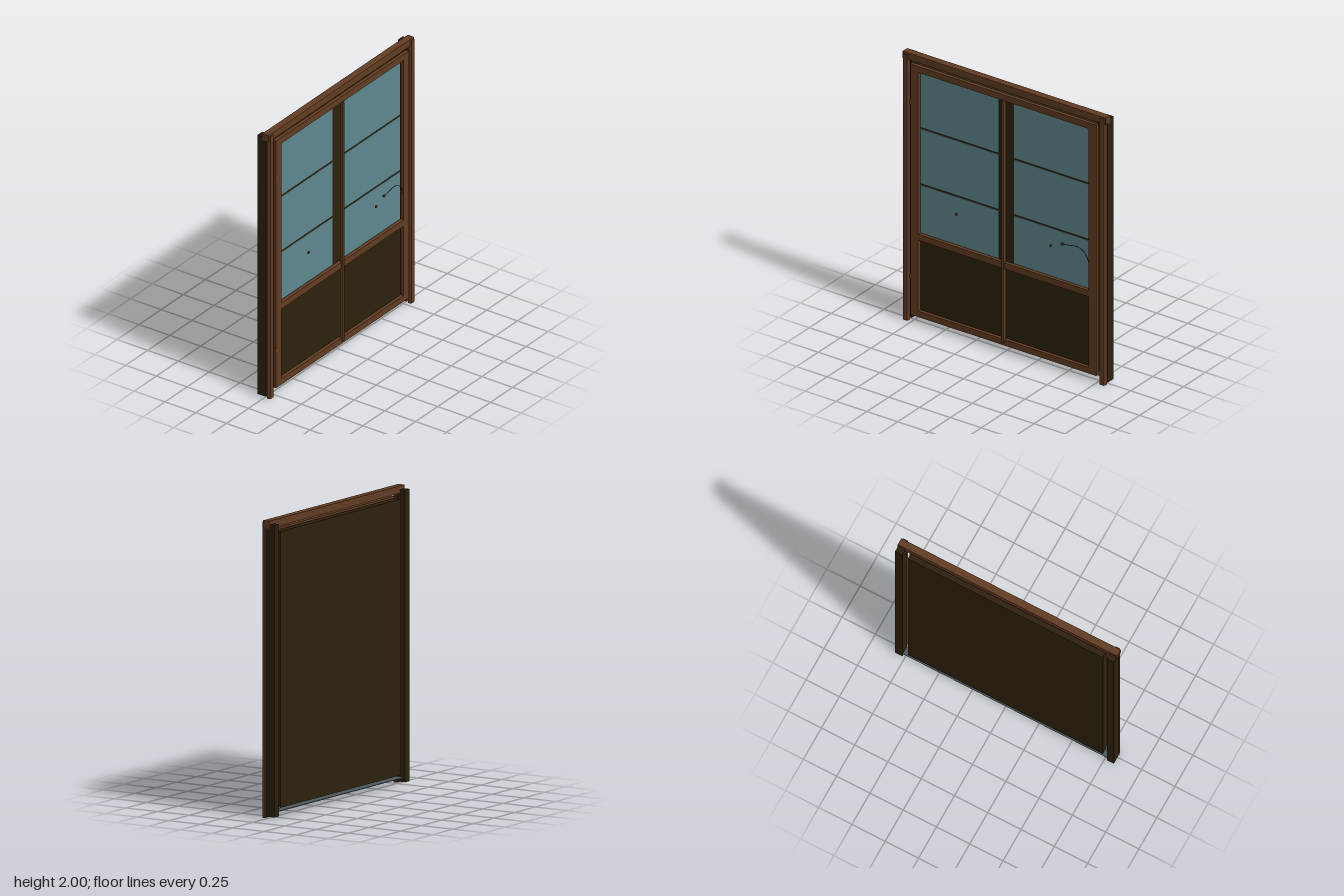
import * as THREE from 'three';

const mat = (name, color) => {
  const m = new THREE.MeshStandardMaterial({ color });
  m.name = name;
  return m;
};

export function createModel() {
  const wood = mat('brownWood', 0x633c22);
  const dark = mat('darkWood', 0x2d210d);
  const glass = mat('blueGlass', 0x5f878f);
  const steel = mat('greySill', 0x4d595e);
  const root = new THREE.Group();
  root.name = 'doubleDoor';

  // Box given by its limits on each axis
  const box = (name, m, x0, x1, y0, y1, z0, z1) => {
    const mesh = new THREE.Mesh(new THREE.BoxGeometry(x1 - x0, y1 - y0, z1 - z0), m);
    mesh.position.set((x0 + x1) / 2, (y0 + y1) / 2, (z0 + z1) / 2);
    mesh.name = name;
    root.add(mesh);
  };
  // Same box on the left or right side
  const side = (name, m, s, a, b, ...rest) =>
    box(name, m, Math.min(s * a, s * b), Math.max(s * a, s * b), ...rest);

  // Surround: front posts with chamfered edges, rear jambs and lintel
  for (const s of [-1, 1]) {
    const c = 0.006, w = 0.023, d = 0.0125;
    const outline = new THREE.Shape([
      [-w, d], [c - w, -d], [w - c, -d], [w, d],
    ].map(([x, y]) => new THREE.Vector2(x, y)));
    const geo = new THREE.ExtrudeGeometry(outline, { depth: 1.985, bevelEnabled: false });
    geo.rotateX(-Math.PI / 2);
    const post = new THREE.Mesh(geo, wood);
    post.position.set(s * 0.798, 0.004, 0.0325);
    post.name = 'frontPost';
    root.add(post);
    side('rearJamb', dark, s, 0.768, 0.821, 0.015, 1.976, -0.055, 0.011);
  }
  box('lintel', wood, -0.824, 0.824, 1.95, 2, -0.015, 0.036);
  box('sill', steel, -0.769, 0.769, 0.045, 0.049, -0.05, 0.01);

  // Door slab behind the frame
  box('doorSlab', dark, -0.732, 0.732, 0.066, 1.92, -0.044, 0.009);

  // Raised door frame
  const rect = (p, x0, x1, y0, y1) =>
    p.moveTo(x0, y0).lineTo(x1, y0).lineTo(x1, y1).lineTo(x0, y1).closePath();
  const shape = rect(new THREE.Shape(), -0.754, 0.754, 0.06, 1.93);
  for (const [y0, y1] of [[0.104, 0.632], [0.678, 1.885]]) {
    shape.holes.push(rect(new THREE.Path(), -0.692, 0.692, y0, y1));
  }
  const frame = new THREE.Mesh(
    new THREE.ExtrudeGeometry(shape, { depth: 0.026, bevelEnabled: false }), wood);
  frame.position.z = 0.02;
  frame.name = 'doorFrame';
  root.add(frame);

  // Window panes set on the slab, leaving dark bars between them, and knobs
  for (const s of [-1, 1]) {
    for (const [y0, y1] of [[0.66, 1.029], [1.043, 1.448], [1.462, 1.866]]) {
      side('windowPane', glass, s, 0.063, 0.7, y0, y1, 0.008, 0.011);
    }
    side('knob', wood, s, 0.376, 0.39, 0.912, 0.926, 0.04, 0.05);
  }
  box('centreStrip', wood, -0.009, 0.009, 0.08, 1.875, 0.03, 0.055);

  // Hinges on one edge
  for (const y of [0.345, 1.648]) {
    box('hinge', wood, -0.761, -0.745, y - 0.018, y + 0.018, 0.03, 0.047);
  }

  // Curved lever handle
  const curve = new THREE.CatmullRomCurve3([
    [0.475, 0.958], [0.53, 0.966], [0.59, 0.975], [0.64, 0.962], [0.675, 0.92], [0.694, 0.87],
  ].map(([x, y]) => new THREE.Vector3(x, y, 0.042)));
  const handle = new THREE.Mesh(new THREE.TubeGeometry(curve, 32, 0.0022, 6), dark);
  handle.name = 'handle';
  root.add(handle);
  box('handleBase', wood, 0.466, 0.483, 0.951, 0.965, 0.038, 0.048);

  return root;
}
